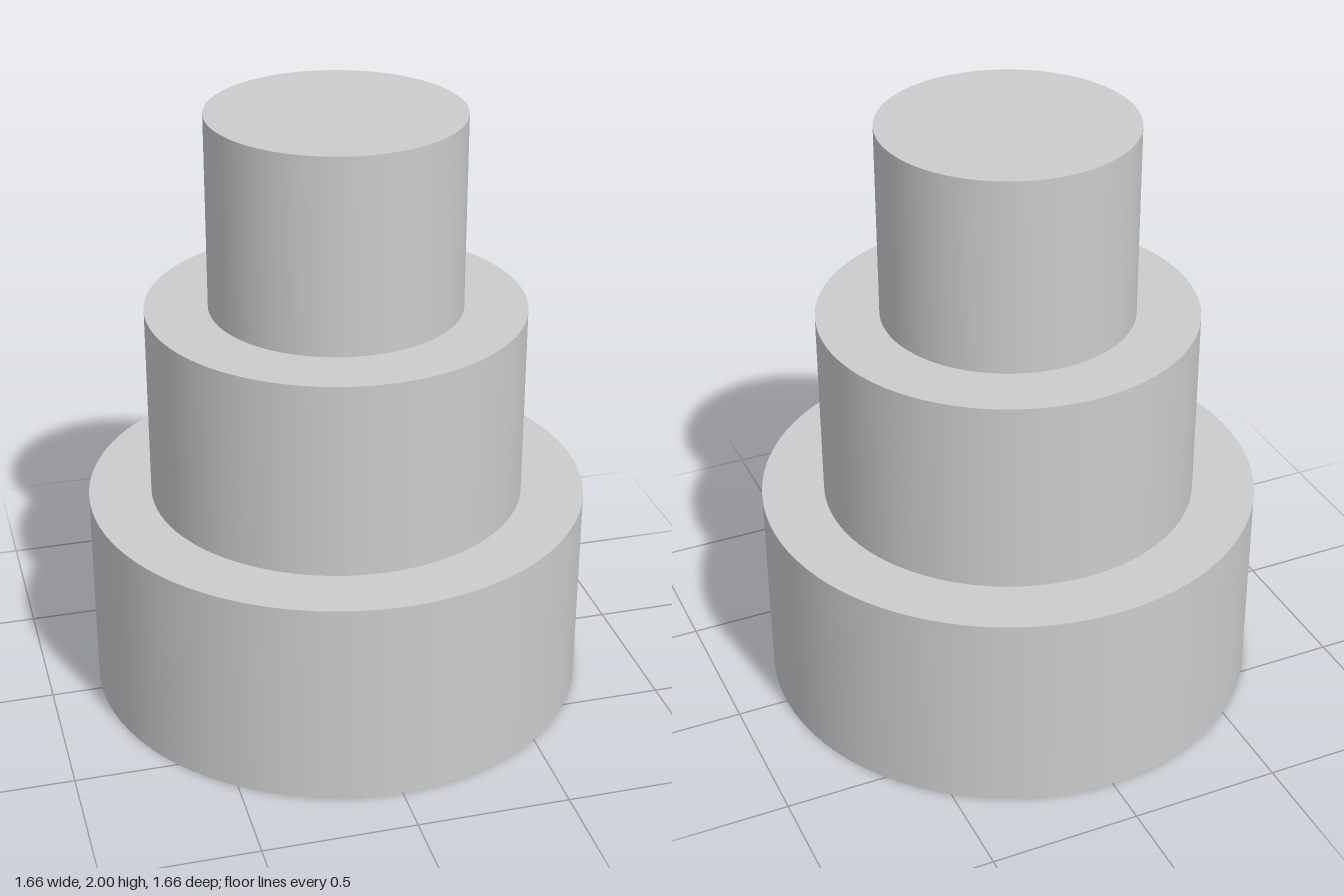
import * as THREE from 'three';

// Each tier: name, radius, bottom height, top height
const TIERS = [
  ['bottomTier', 0.83, 0, 0.695],
  ['middleTier', 0.622, 0.695, 1.35],
  ['topTier', 0.415, 1.35, 2],
];

export function createModel() {
  const model = new THREE.Group();
  model.name = 'tieredCake';
  const material = new THREE.MeshStandardMaterial({ color: 0xcccccc });

  // Three round tiers stacked on a common axis
  for (const [name, radius, bottom, top] of TIERS) {
    const geometry = new THREE.CylinderGeometry(radius, radius, top - bottom, 96);
    const tier = new THREE.Mesh(geometry, material);
    tier.name = name;
    tier.position.y = (bottom + top) / 2;
    model.add(tier);
  }
  return model;
}
